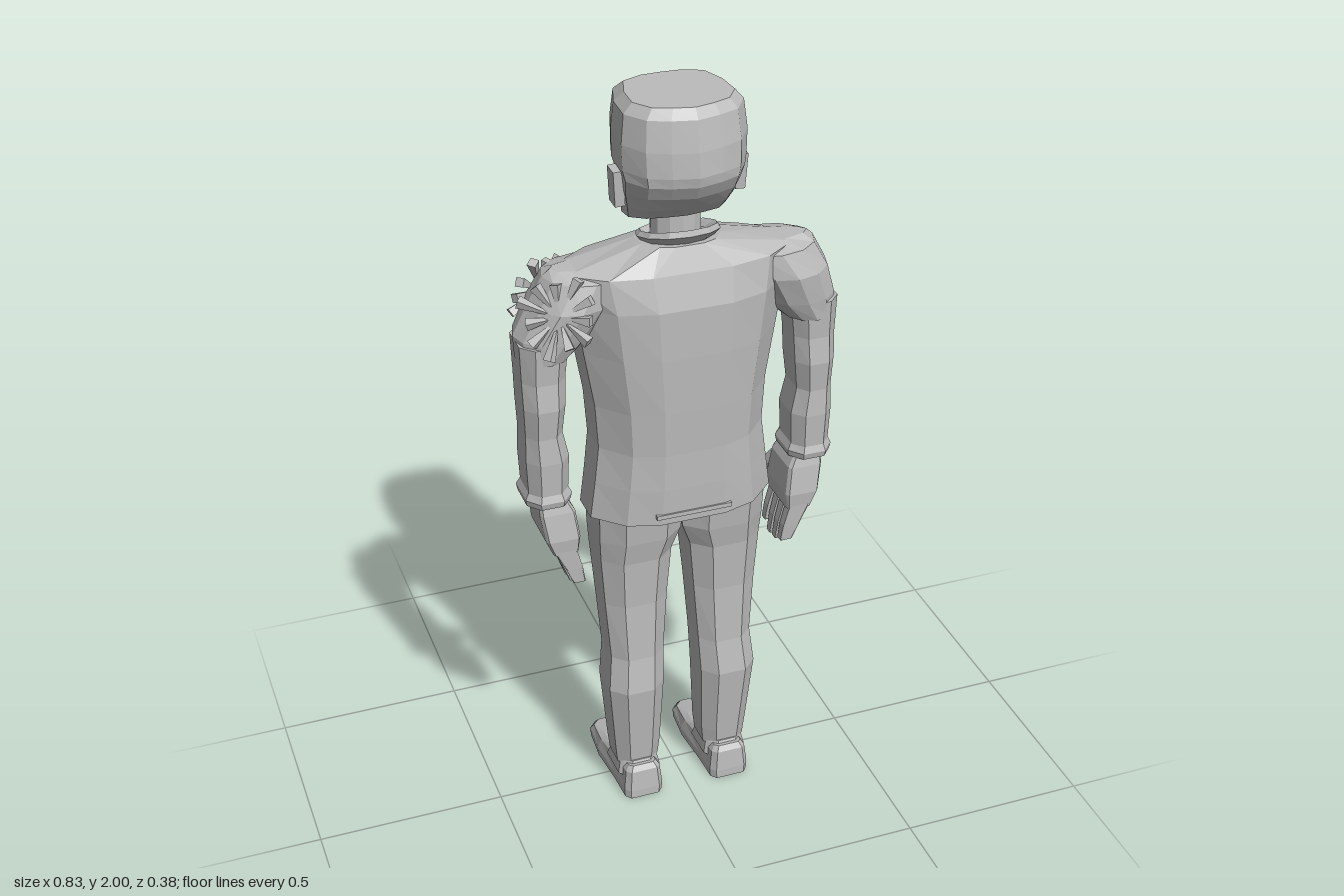
import * as THREE from 'three';

const grey = new THREE.MeshStandardMaterial({ color: 0xbcbcbc });
grey.name = 'plain grey';

// Half outlines running front (-z) to back (+z), as fractions of half width and half depth
const TORSO = [[0, -0.96], [0.25, -0.96], [0.27, -1], [0.68, -0.88], [1, -0.35], [1, 0.3], [0.7, 0.82], [0.35, 1], [0, 1]];
const LIMB = [[0.5, -1], [1, -0.55], [1, 0.55], [0.5, 1]];
const BLOCK = [[0.85, -1], [1, -0.85], [1, 0.85], [0.85, 1]];
const HEAD = [[0, -1], [0.4, -0.98], [0.8, -0.8], [0.97, -0.25], [1, 0.35], [0.75, 0.75], [0.4, 0.9], [0, 1]];
const OVAL = [[0, -1], [0.5, -0.87], [0.87, -0.5], [1, 0], [0.87, 0.5], [0.5, 0.87], [0, 1]];

function fullRing(half) {
  const other = half.filter(p => p[0] > 0).map(([x, z]) => [-x, z]).reverse();
  return half.concat(other);
}

function mesh(name, geo, parent) {
  const g = geo.index ? geo.toNonIndexed() : geo;
  g.computeVertexNormals();
  const m = new THREE.Mesh(g, grey);
  m.name = name;
  parent.add(m);
  return m;
}

// Rings from bottom to top: [centre x, half width, front z, back z, front y, back y]
function loft(name, half, rings, parent) {
  const shape = fullRing(half), n = shape.length, pos = [], idx = [];
  for (const [cx, w, zf, zb, yf, yb = yf] of rings)
    for (const [u, v] of shape) {
      const t = (v + 1) / 2;
      pos.push(cx + u * w, yf + (yb - yf) * t, zf + (zb - zf) * t);
    }
  for (let r = 0; r < rings.length - 1; r++)
    for (let j = 0; j < n; j++) {
      const a = r * n + j, b = r * n + (j + 1) % n;
      idx.push(a, a + n, b + n, a, b + n, b);
    }
  // End caps
  [0, rings.length - 1].forEach((r, top) => {
    const [cx, , zf, zb, yf, yb = yf] = rings[r];
    const c = pos.length / 3;
    pos.push(cx, (yf + yb) / 2, (zf + zb) / 2);
    for (let j = 0; j < n; j++) {
      const a = r * n + j, b = r * n + (j + 1) % n;
      if (top) idx.push(c, b, a); else idx.push(c, a, b);
    }
  });
  const g = new THREE.BufferGeometry();
  g.setAttribute('position', new THREE.Float32BufferAttribute(pos, 3));
  g.setIndex(idx);
  return mesh(name, g, parent);
}

function box(name, w, h, d, x, y, z, parent, rx = 0, rz = 0) {
  const m = mesh(name, new THREE.BoxGeometry(w, h, d), parent);
  m.position.set(x, y, z);
  m.rotation.set(rx, 0, rz);
  return m;
}

function addHead(g) {
  loft('neck', OVAL, [[0, 0.065, -0.035, 0.08, 1.58], [0, 0.06, -0.03, 0.075, 1.78]], g);
  loft('head', HEAD, [
    [0, 0.075, -0.095, 0.05, 1.645, 1.715],
    [0, 0.122, -0.105, 0.1, 1.67, 1.71],
    [0, 0.132, -0.092, 0.13, 1.72, 1.74],
    [0, 0.143, -0.105, 0.165, 1.775, 1.78],
    [0, 0.148, -0.1, 0.185, 1.815, 1.815],
    [0, 0.153, -0.125, 0.19, 1.84, 1.84],
    [0, 0.155, -0.118, 0.185, 1.915, 1.9],
    [0, 0.147, -0.11, 0.172, 1.975, 1.975],
    [0, 0.125, -0.08, 0.155, 2.0, 2.0]], g);
  // Facial features
  loft('nose', [[0, -1], [0.5, -0.3], [1, 1]], [
    [0, 0.03, -0.122, -0.08, 1.742], [0, 0.03, -0.147, -0.08, 1.757], [0, 0.012, -0.118, -0.08, 1.835]], g);
  box('upperLip', 0.09, 0.012, 0.03, 0, 1.722, -0.09, g, 0.2);
  box('lowerLip', 0.07, 0.012, 0.03, 0, 1.703, -0.09, g);
  loft('chin', LIMB, [[0, 0.035, -0.1, -0.04, 1.645], [0, 0.045, -0.108, -0.04, 1.668], [0, 0.04, -0.098, -0.04, 1.69]], g);
  for (const s of [1, -1]) {
    box('brow', 0.07, 0.014, 0.025, s * 0.065, 1.843, -0.112, g, 0, s * 0.12);
    box('eye', 0.05, 0.016, 0.009, s * 0.06, 1.81, -0.101, g);
    box('ear', 0.025, 0.09, 0.045, s * 0.153, 1.785, 0.04, g, 0.05, -s * 0.06);
  }
}

function addTorso(g) {
  loft('jacket', TORSO, [
    [0, 0.243, -0.11, 0.163, 0.9],
    [0, 0.23, -0.112, 0.165, 1.0],
    [0, 0.218, -0.118, 0.165, 1.1],
    [0, 0.225, -0.13, 0.17, 1.22],
    [0, 0.25, -0.14, 0.173, 1.37],
    [0, 0.27, -0.132, 0.173, 1.5],
    [0, 0.29, -0.088, 0.15, 1.585],
    [0, 0.1, -0.05, 0.125, 1.625, 1.645]], g);
  box('shirtHem', 0.12, 0.09, 0.01, 0, 0.96, -0.108, g);
  box('backHem', 0.2, 0.012, 0.01, 0, 0.925, 0.163, g);
  // Collar rises towards the back
  loft('collar', OVAL, [
    [0, 0.085, -0.045, 0.11, 1.605, 1.64],
    [0, 0.105, -0.055, 0.135, 1.625, 1.67],
    [0, 0.095, -0.045, 0.13, 1.635, 1.685],
    [0, 0.07, -0.03, 0.09, 1.62, 1.66]], g);
}

function addArm(g, s) {
  const side = s > 0 ? 'left' : 'right';
  const cut = s > 0 ? 0 : 0.02;
  // Shoulder cap, slimmer on the torn side
  loft(side + 'Shoulder', OVAL, [
    [s * 0.345, 0.068, -0.05, 0.108, 1.375],
    [s * 0.315, 0.1, -0.07, 0.12, 1.43],
    [s * (0.28 - cut / 2), 0.113 - cut / 2, -0.09, 0.135, 1.51],
    [s * (0.24 - cut / 2), 0.118 - cut / 2, -0.07, 0.12, 1.575],
    [s * 0.2, 0.14 - cut, -0.01, 0.07, 1.592]], g);
  loft(side + 'Sleeve', LIMB, [
    [s * 0.352, 0.05, -0.035, 0.1, 0.98],
    [s * 0.352, 0.055, -0.04, 0.105, 1.1],
    [s * 0.358, 0.047, -0.033, 0.1, 1.17],
    [s * 0.355, 0.053, -0.04, 0.108, 1.25],
    [s * 0.354, 0.055, -0.04, 0.1, 1.32],
    [s * 0.35, 0.062, -0.045, 0.105, 1.42]], g);
  loft(side + 'Cuff', LIMB, [
    [s * 0.352, 0.057, -0.048, 0.104, 0.973],
    [s * 0.352, 0.06, -0.052, 0.108, 0.99],
    [s * 0.352, 0.05, -0.04, 0.1, 1.012]], g);
  // Hand with curled fingers
  loft(side + 'Palm', BLOCK, [
    [s * 0.318, 0.033, -0.04, 0.1, 0.825],
    [s * 0.325, 0.045, -0.045, 0.105, 0.87],
    [s * 0.335, 0.046, -0.035, 0.095, 0.945],
    [s * 0.345, 0.035, -0.025, 0.085, 0.985]], g);
  for (let i = 0; i < 4; i++) {
    const z = -0.04 + i * 0.036, drop = [0.02, 0, 0.005, 0.02][i];
    loft(side + 'Finger', BLOCK, [
      [s * 0.285, 0.016, z + 0.004, z + 0.028, 0.71 + drop],
      [s * 0.298, 0.022, z + 0.002, z + 0.031, 0.765 + drop / 2],
      [s * 0.32, 0.028, z, z + 0.033, 0.835]], g);
  }
  loft(side + 'Thumb', BLOCK, [
    [s * 0.285, 0.018, -0.09, -0.06, 0.815],
    [s * 0.3, 0.024, -0.092, -0.05, 0.865],
    [s * 0.325, 0.026, -0.065, -0.02, 0.915]], g);
}

// Ragged cloth spikes fanning out over both faces of the torn shoulder
function addTear(g) {
  const up = new THREE.Vector3(0, 1, 0);
  for (const f of [-1, 1]) {
    const normal = new THREE.Vector3(-0.5, 0.35, f * 0.8).normalize();
    const u = new THREE.Vector3().crossVectors(up, normal).normalize();
    const v = new THREE.Vector3().crossVectors(normal, u);
    const centre = new THREE.Vector3(-0.32, 1.5, f < 0 ? -0.055 : 0.105);
    for (let i = 0; i < 11; i++) {
      const a = i / 11 * Math.PI * 2, len = 0.075 + 0.025 * ((i * 7) % 3) / 2;
      const dir = u.clone().multiplyScalar(Math.cos(a)).addScaledVector(v, Math.sin(a));
      dir.addScaledVector(normal, 0.12).normalize();
      const strip = mesh('tornStrip', new THREE.ConeGeometry(0.016, len, 4).rotateX(Math.PI), g);
      strip.quaternion.setFromUnitVectors(up, dir);
      strip.position.copy(centre).addScaledVector(dir, len / 2 + 0.005);
    }
  }
}

function addLeg(g, s) {
  const side = s > 0 ? 'left' : 'right';
  loft(side + 'TrouserLeg', LIMB, [
    [s * 0.125, 0.058, -0.03, 0.095, 0.09],
    [s * 0.125, 0.063, -0.035, 0.1, 0.14],
    [s * 0.13, 0.076, -0.045, 0.12, 0.35],
    [s * 0.123, 0.073, -0.05, 0.105, 0.45],
    [s * 0.123, 0.085, -0.062, 0.1, 0.62],
    [s * 0.122, 0.096, -0.078, 0.108, 0.76],
    [s * 0.112, 0.11, -0.085, 0.12, 0.825],
    [s * 0.112, 0.112, -0.088, 0.13, 0.92]], g);
  // Shoe: wide sole, low toe and raised heel
  loft(side + 'Shoe', [[0.55, -1], [0.9, -0.85], [1, -0.3], [0.85, 0.4], [0.8, 0.9], [0.6, 1]], [
    [s * 0.125, 0.066, -0.193, 0.13, 0],
    [s * 0.125, 0.068, -0.195, 0.13, 0.025],
    [s * 0.125, 0.06, -0.18, 0.125, 0.042, 0.085],
    [s * 0.125, 0.048, -0.11, 0.115, 0.06, 0.1]], g);
  loft(side + 'ShoeAnkle', LIMB, [
    [s * 0.125, 0.06, -0.06, 0.12, 0.05, 0.06],
    [s * 0.125, 0.05, -0.03, 0.1, 0.105]], g);
}

export function createModel() {
  const g = new THREE.Group();
  g.name = 'standingFigure';
  addHead(g);
  addTorso(g);
  for (const s of [1, -1]) {
    addArm(g, s);
    addLeg(g, s);
  }
  addTear(g);
  return g;
}
